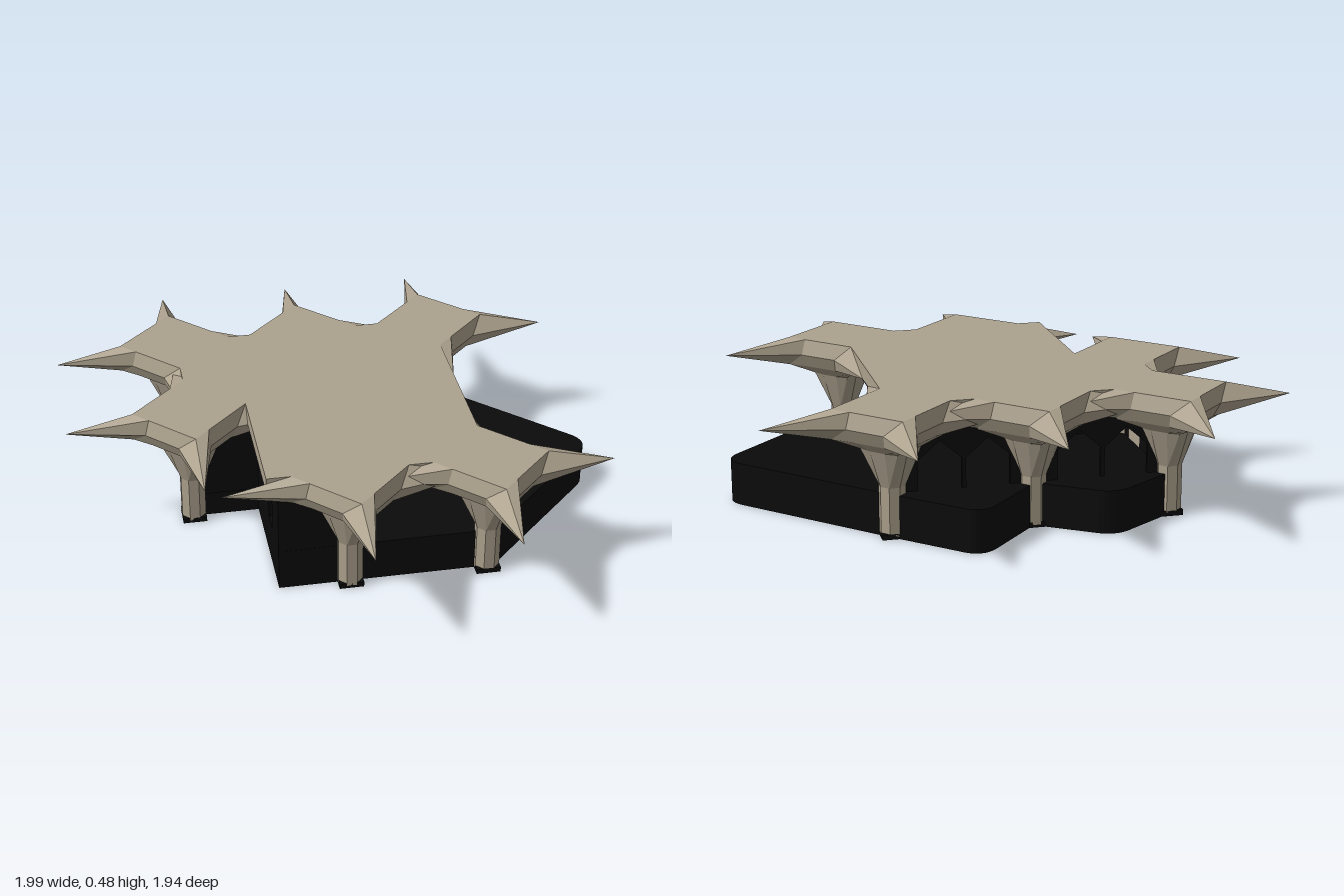
import * as THREE from 'three';

const stone = new THREE.MeshStandardMaterial({ color: 0xada28e, flatShading: true, side: THREE.DoubleSide });
const dark = new THREE.MeshStandardMaterial({ color: 0x0a0a0a });

// Column rings from foot to roof: y, reach along the axes, then the corner pair (a, b)
const RINGS = [
  [0.01, 0.045, 0.045, 0.019],
  [0.19, 0.045, 0.045, 0.019],
  [0.33, 0.11, 0.085, 0.04],
  [0.37, 0.21, 0.145, 0.052],
  [0.42, 0.46, 0.17, 0.06],
  [0.48, 0.21, 0.155, 0.055],
];

// Column flaring into a four-pointed star capital with a flat diamond top
function starColumnGeometry() {
  const pos = [], idx = [], n = 12;
  for (const [y, r, a, b] of RINGS) {
    for (let k = 0; k < 4; k++) {
      const c = [1, 0, -1, 0][k], s = [0, 1, 0, -1][k];
      for (const [u, v] of [[r, 0], [a, b], [b, a]]) pos.push(u * c - v * s, y, u * s + v * c);
    }
  }
  for (let j = 0; j < RINGS.length - 1; j++) {
    for (let i = 0; i < n; i++) {
      const a = j * n + i, a2 = j * n + (i + 1) % n;
      idx.push(a, a + n, a2, a2, a + n, a2 + n);
    }
  }
  const top = (RINGS.length - 1) * n, centre = pos.length / 3;
  pos.push(0, 0.48, 0);
  for (let i = 0; i < n; i++) idx.push(centre, top + (i + 1) % n, top + i);
  const g = new THREE.BufferGeometry();
  g.setAttribute('position', new THREE.Float32BufferAttribute(pos, 3));
  g.setIndex(idx);
  const flat = g.toNonIndexed();
  flat.computeVertexNormals();
  return flat;
}

// Horizontal slab from a plan in (x, z)
function slab(name, shape, y0, y1, material) {
  const g = new THREE.ExtrudeGeometry(shape, { depth: y1 - y0, bevelEnabled: false, curveSegments: 8 });
  g.rotateX(Math.PI / 2).translate(0, y1, 0);
  const m = new THREE.Mesh(g, material);
  m.name = name;
  return m;
}

const plan = (pts) => new THREE.Shape(pts.map(([x, z]) => new THREE.Vector2(x, z)));

// Pentagonal window outline
const gable = (Type, u0, u1, eave, peak) => new Type([
  [u0, 0.16], [u1, 0.16], [u1, eave], [(u0 + u1) / 2, peak], [u0, eave],
].map(([u, v]) => new THREE.Vector2(u, v)));

// Upright wall between two plan points, with gabled openings measured along it
function wall(name, [x0, z0], [x1, z1], windows = []) {
  const len = Math.hypot(x1 - x0, z1 - z0);
  const s = plan([[0, 0.1], [len, 0.1], [len, 0.405], [0, 0.405]]);
  for (const w of windows) s.holes.push(gable(THREE.Path, ...w));
  const g = new THREE.ExtrudeGeometry(s, { depth: 0.014, bevelEnabled: false });
  g.translate(0, 0, -0.007);
  const m = new THREE.Mesh(g, dark);
  m.position.set(x0, 0, z0);
  m.rotation.y = -Math.atan2(z1 - z0, x1 - x0);
  m.name = name;
  return m;
}

export function createModel() {
  const group = new THREE.Group();
  group.name = 'pavilion';

  // Star columns, each on a small dark foot
  const geo = starColumnGeometry();
  const foot = new THREE.BoxGeometry(0.09, 0.02, 0.09);
  const spots = [
    [-0.53, -0.51], [-0.02, -0.51], [0.49, -0.51], [-0.53, 0], [-0.02, 0.51], [0.49, 0.51],
  ];
  for (const [x, z] of spots) {
    const column = new THREE.Mesh(geo, stone);
    column.name = 'starColumn';
    column.position.set(x, 0, z);
    const pad = new THREE.Mesh(foot, dark);
    pad.name = 'columnFoot';
    pad.position.set(x, 0.01, z);
    group.add(column, pad);
  }

  // Flat roof joining the star tops, and the dark ceiling beneath it
  group.add(slab('roof', plan([
    [-0.53, -0.51], [0.49, -0.51], [0.49, 0.51], [-0.32, 0.51], [-0.32, 0], [-0.53, 0],
  ]), 0.42, 0.48, stone));
  group.add(slab('ceiling', plan([
    [-0.52, -0.5], [0.48, -0.5], [0.48, 0.5], [-0.28, 0.5], [-0.28, 0], [-0.52, 0],
  ]), 0.4, 0.419, dark));

  // Base with rounded bays at the back and on one side
  const base = new THREE.Shape();
  base.moveTo(-0.53, 0);
  base.lineTo(-0.53, -0.53);
  base.lineTo(-0.35, -0.65);
  base.quadraticCurveTo(-0.275, -0.71, -0.2, -0.65);
  base.lineTo(-0.02, -0.53);
  base.lineTo(0.16, -0.72);
  base.quadraticCurveTo(0.23, -0.8, 0.3, -0.72);
  base.lineTo(0.51, -0.52);
  base.lineTo(0.96, -0.07);
  base.quadraticCurveTo(1.035, 0, 0.96, 0.07);
  base.lineTo(0.52, 0.51);
  base.lineTo(-0.28, 0.51);
  base.lineTo(-0.28, 0);
  base.closePath();
  group.add(slab('base', base, 0, 0.16, dark));

  // Walls and windows
  const pair = [[0.085, 0.245, 0.27, 0.34], [0.26, 0.42, 0.27, 0.34]];
  group.add(
    wall('backWall', [-0.02, -0.51], [0.49, -0.51], pair),
    wall('backWall', [-0.53, -0.51], [-0.02, -0.51], pair),
    wall('sideWall', [-0.52, -0.51], [-0.52, 0]),
    wall('notchWall', [-0.53, 0], [-0.28, 0]),
    wall('notchSideWall', [-0.273, 0], [-0.273, 0.51], [[0.28, 0.37, 0.26, 0.285]]),
    wall('frontWall', [-0.28, 0.502], [-0.02, 0.502]),
  );

  // Pale gabled door on the inside of the side wall
  const door = new THREE.Mesh(new THREE.ShapeGeometry(gable(THREE.Shape, 0.1, 0.23, 0.27, 0.32)), stone);
  door.name = 'innerDoor';
  door.rotation.y = Math.PI / 2;
  door.position.x = -0.51;
  group.add(door);

  return group;
}
